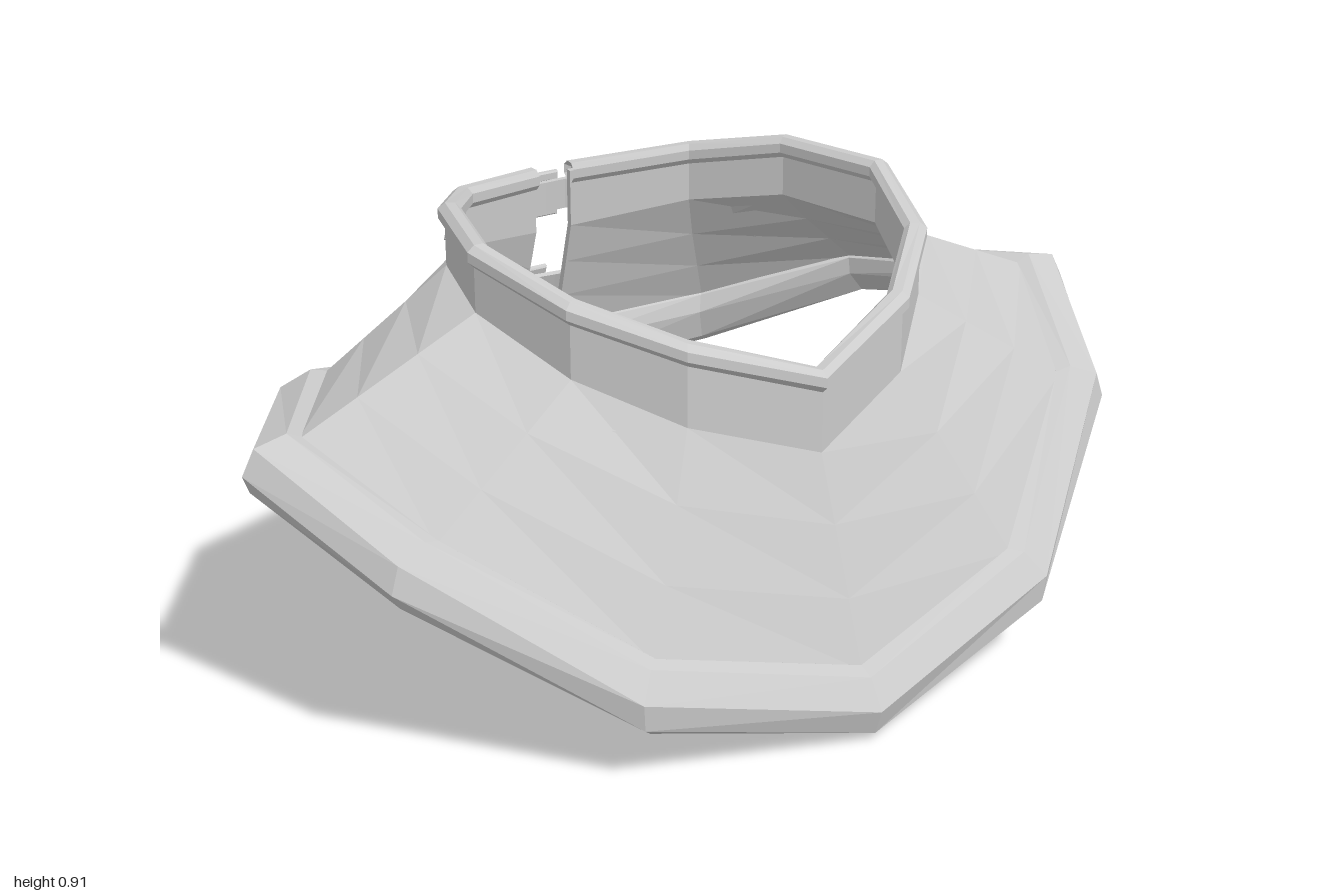
import * as THREE from 'three';

const V = (x, y, z) => new THREE.Vector3(x, y, z);
const material = new THREE.MeshStandardMaterial({ color: 0xcccccc, flatShading: true, side: THREE.DoubleSide });

// Half of the collar from front centre to back opening:
// neck x, neck z, top edge y, crease y, then flare end x, y, z
const HALF = [
  [0, 0.47, 0.72, 0.55, 0, 0.145, 0.615],
  [0.25, 0.385, 0.8, 0.63, 0.42, 0.25, 0.54],
  [0.41, 0.23, 0.865, 0.71, 0.74, 0.48, 0.3],
  [0.485, 0, 0.922, 0.785, 0.87, 0.61, 0.005],
  [0.415, -0.25, 0.922, 0.79, 0.66, 0.58, -0.325],
  [0.285, -0.435, 0.88, 0.75, 0.385, 0.475, -0.53],
  [0.045, -0.555, 0.845, 0.7, 0.05, 0.43, -0.635],
];
const COLUMNS = [
  ...HALF.slice(1).reverse(),
  ...HALF.map(([nx, nz, t, c, x, y, z]) => [-nx, nz, t, c, -x, y, z]),
].map(([nx, nz, top, cy, x, y, z]) => {
  const crease = V(nx, cy, nz), end = V(x, y, z);
  const down = end.clone().sub(crease).normalize();
  const flat = Math.hypot(down.x, down.z);
  const normal = V(-down.x * down.y / flat, flat, -down.z * down.y / flat);
  return { top: V(nx, top, nz), crease, end, down, normal, out: V(nx, 0, nz).normalize() };
});

// Closed solid through equal rings of points; the ends are closed strip-wise
function loft(name, rings) {
  const n = rings[0].length, pos = rings.flat().flatMap((p) => [p.x, p.y, p.z]), idx = [];
  for (let r = 0; r < rings.length - 1; r++)
    for (let i = 0; i < n; i++) {
      const a = r * n + i, b = r * n + (i + 1) % n;
      idx.push(a, b, a + n, b, b + n, a + n);
    }
  for (const [base, flip] of [[0, true], [(rings.length - 1) * n, false]])
    for (let i = 0; i < n / 2 - 1; i++) {
      const [a, b, c, d] = [i, i + 1, n - 2 - i, n - 1 - i].map((k) => base + k);
      idx.push(...(flip ? [a, c, b, a, d, c] : [a, b, c, a, c, d]));
    }
  // turn all faces outward
  let volume = 0;
  const at = (i) => V(pos[3 * i], pos[3 * i + 1], pos[3 * i + 2]);
  for (let i = 0; i < idx.length; i += 3) volume += at(idx[i]).dot(at(idx[i + 1]).cross(at(idx[i + 2])));
  if (volume < 0) idx.reverse();
  const geo = new THREE.BufferGeometry();
  geo.setAttribute('position', new THREE.Float32BufferAttribute(pos, 3));
  geo.setIndex(idx);
  geo.computeVertexNormals();
  return named(name, geo);
}

function named(name, geo) {
  const mesh = new THREE.Mesh(geo, material);
  mesh.name = name;
  return mesh;
}

// Adds a smaller ring beyond each end so that a roll finishes rounded
function roundEnds(rings) {
  const nub = (ring, dir) => {
    const mid = ring.reduce((s, p) => s.add(p), V(0, 0, 0)).divideScalar(ring.length);
    return ring.map((p) => p.clone().lerp(mid, 0.45).add(V(dir * 0.012, 0, 0)));
  };
  return [nub(rings[0], -1), ...rings, nub(rings[rings.length - 1], 1)];
}

const TOP_ROLL = [[0.013, -0.012], [-0.002, 0], [-0.022, 0], [-0.034, -0.012],
  [-0.034, -0.032], [-0.022, -0.045], [0, -0.045], [0.013, -0.032]];
const BOTTOM_ROLL = [[-0.01, 0.004], [0.012, 0.03], [0.08, 0.045], [0.125, 0.01],
  [0.128, -0.028], [0.09, -0.055], [0.02, -0.045], [-0.01, -0.018]];

function shellRing(c) {
  const outer = [c.top.clone().add(V(0, -0.02, 0)), c.crease];
  for (const t of [0.33, 0.67, 1]) outer.push(c.crease.clone().lerp(c.end, t).addScaledVector(c.normal, 0.004 * t));
  const inner = outer.map((p, i) => (i < 2
    ? p.clone().addScaledVector(c.out, -0.016)
    : p.clone().addScaledVector(c.normal, -0.016)));
  return [...outer, ...inner.reverse()];
}

// Frame of a strap at point i: outward normal and the direction across its width
function strapFrame(pts, i, tilt) {
  const t = pts[Math.min(i + 1, pts.length - 1)].clone().sub(pts[Math.max(i - 1, 0)]);
  const o = V(-t.z, 0, t.x).normalize();
  return {
    n: o.clone().multiplyScalar(Math.cos(tilt)).add(V(0, Math.sin(tilt), 0)),
    up: o.clone().multiplyScalar(-Math.sin(tilt)).add(V(0, Math.cos(tilt), 0)),
  };
}

function band(name, pts, tilt, half, lift, thick) {
  return loft(name, pts.map((p, i) => {
    const { n, up } = strapFrame(pts, i, tilt);
    return [[half, lift], [half, lift + thick], [-half, lift + thick], [-half, lift]]
      .map(([h, d]) => p.clone().addScaledVector(up, h).addScaledVector(n, d));
  }));
}

function buckle(tilt) {
  const g = new THREE.Group();
  g.name = 'buckle';
  const rect = (S, w, h) => new S([[-w, -h], [w, -h], [w, h], [-w, h]].map((p) => new THREE.Vector2(...p)));
  const frame = rect(THREE.Shape, 0.06, 0.048);
  frame.holes.push(rect(THREE.Path, 0.043, 0.034));
  g.add(named('buckleFrame', new THREE.ExtrudeGeometry(frame, {
    depth: 0.008, bevelThickness: 0.003, bevelSize: 0.003, bevelSegments: 1 })));
  const bar = named('buckleBar', new THREE.CylinderGeometry(0.006, 0.006, 0.084, 8));
  bar.position.set(-0.01, 0, 0.006);
  const prong = named('buckleProng', new THREE.BoxGeometry(0.062, 0.01, 0.008));
  prong.position.set(0.022, 0, 0.013);
  g.add(bar, prong);
  g.rotation.set(-tilt, Math.PI, 0, 'YXZ');
  return g;
}

// A strap across the back opening with its buckle, tongue, keeper and rivets
function closure(name, half, tilt) {
  const g = new THREE.Group();
  g.name = name;
  const pts = [...half, ...half.slice(0, -1).reverse().map((p) => V(-p.x, p.y, p.z))];
  g.add(band('strap', pts, tilt, 0.034, -0.006, 0.012));
  // tongue passing through the buckle and lying on the strap
  const mid = half.length - 1, a = pts[mid], b = pts[mid + 1], c = pts[mid + 2];
  g.add(band('strapTongue', [a, b, b.clone().lerp(c, 0.7)], tilt, 0.025, 0.006, 0.007));
  const k = b.clone().lerp(c, 0.35);
  g.add(band('strapKeeper', [k.clone().lerp(b, 0.09), k.clone().lerp(c, 0.1)], tilt, 0.036, 0.004, 0.015));
  const clasp = buckle(tilt);
  clasp.position.copy(a).add(V(-0.025, 0, -0.012));
  g.add(clasp);
  // rivets near both ends and along the strap
  const rivet = (i, t, h) => {
    const { n, up } = strapFrame([pts[i], pts[i + 1]], 0, tilt);
    const r = named('rivet', new THREE.CylinderGeometry(0.005, 0.007, 0.008, 8));
    r.position.copy(pts[i]).lerp(pts[i + 1], t).addScaledVector(up, h).addScaledVector(n, 0.008);
    r.quaternion.setFromUnitVectors(V(0, 1, 0), n);
    g.add(r);
  };
  for (const h of [-0.02, 0.02]) {
    rivet(0, 0.25, h);
    rivet(pts.length - 2, 0.75, h);
  }
  rivet(mid - 2, 0.35, 0);
  rivet(mid - 2, 0.85, 0);
  return g;
}

export function createModel() {
  const model = new THREE.Group();
  model.name = 'neckGuard';
  model.add(loft('collarShell', COLUMNS.map(shellRing)));
  model.add(loft('topRim', roundEnds(COLUMNS.map((c) => TOP_ROLL.map(([o, y]) =>
    c.top.clone().addScaledVector(c.out, o).add(V(0, y, 0)))).reverse())));
  model.add(loft('bottomRim', roundEnds(COLUMNS.map((c) => BOTTOM_ROLL.map(([d, n]) =>
    c.end.clone().addScaledVector(c.down, d).addScaledVector(c.normal, n))).reverse())));
  model.add(closure('upperStrap', [V(0.325, 0.8, -0.405), V(0.295, 0.795, -0.45),
    V(0.17, 0.78, -0.508), V(0.045, 0.768, -0.567), V(0, 0.765, -0.574)], 0.06));
  model.add(closure('lowerStrap', [V(0.365, 0.56, -0.522), V(0.2, 0.545, -0.578),
    V(0.05, 0.53, -0.632), V(0, 0.527, -0.645)], 0.33));
  return model;
}
